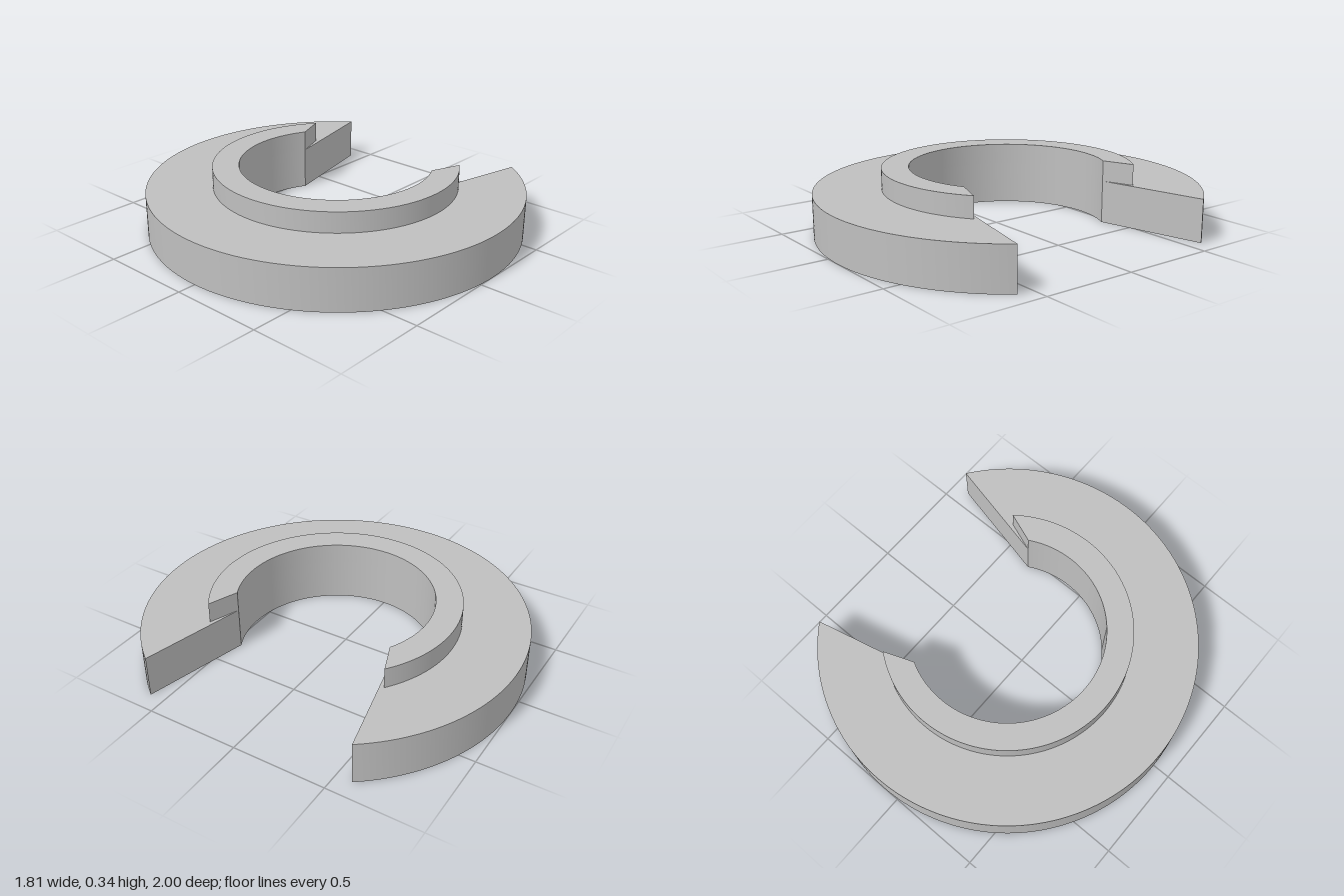
import * as THREE from 'three';
import { toCreasedNormals } from 'three/addons/utils/BufferGeometryUtils.js';

const CENTER_X = 0.095;
const BORE = { radius: 0.51, angle: 1.08 }; // half opening angle of the gap at the bore

// Open ring, gap facing +x; its ends run straight from the bore to the outer arc.
function openRing(name, outerRadius, outerAngle, bottom, top, material) {
  const turn = Math.PI * 2;
  const shape = new THREE.Shape();
  shape.absarc(0, 0, outerRadius, outerAngle, turn - outerAngle, false);
  shape.absarc(0, 0, BORE.radius, turn - BORE.angle, BORE.angle, true);
  shape.closePath();

  const geometry = new THREE.ExtrudeGeometry(shape, {
    depth: top - bottom,
    bevelEnabled: false,
    curveSegments: 96,
  });
  geometry.rotateX(-Math.PI / 2);
  geometry.translate(CENTER_X, bottom, 0);

  const mesh = new THREE.Mesh(toCreasedNormals(geometry, 0.4), material);
  mesh.name = name;
  return mesh;
}

export function createModel() {
  const group = new THREE.Group();
  group.name = 'openCollarWasher';

  const grey = new THREE.MeshStandardMaterial({ color: 0xbfbfbf });
  grey.name = 'plain grey';

  // Wide flat flange with a raised collar around the bore
  group.add(openRing('flange', 1, 0.625, 0, 0.225, grey));
  group.add(openRing('collar', 0.65, 0.905, 0.225, 0.335, grey));
  return group;
}
